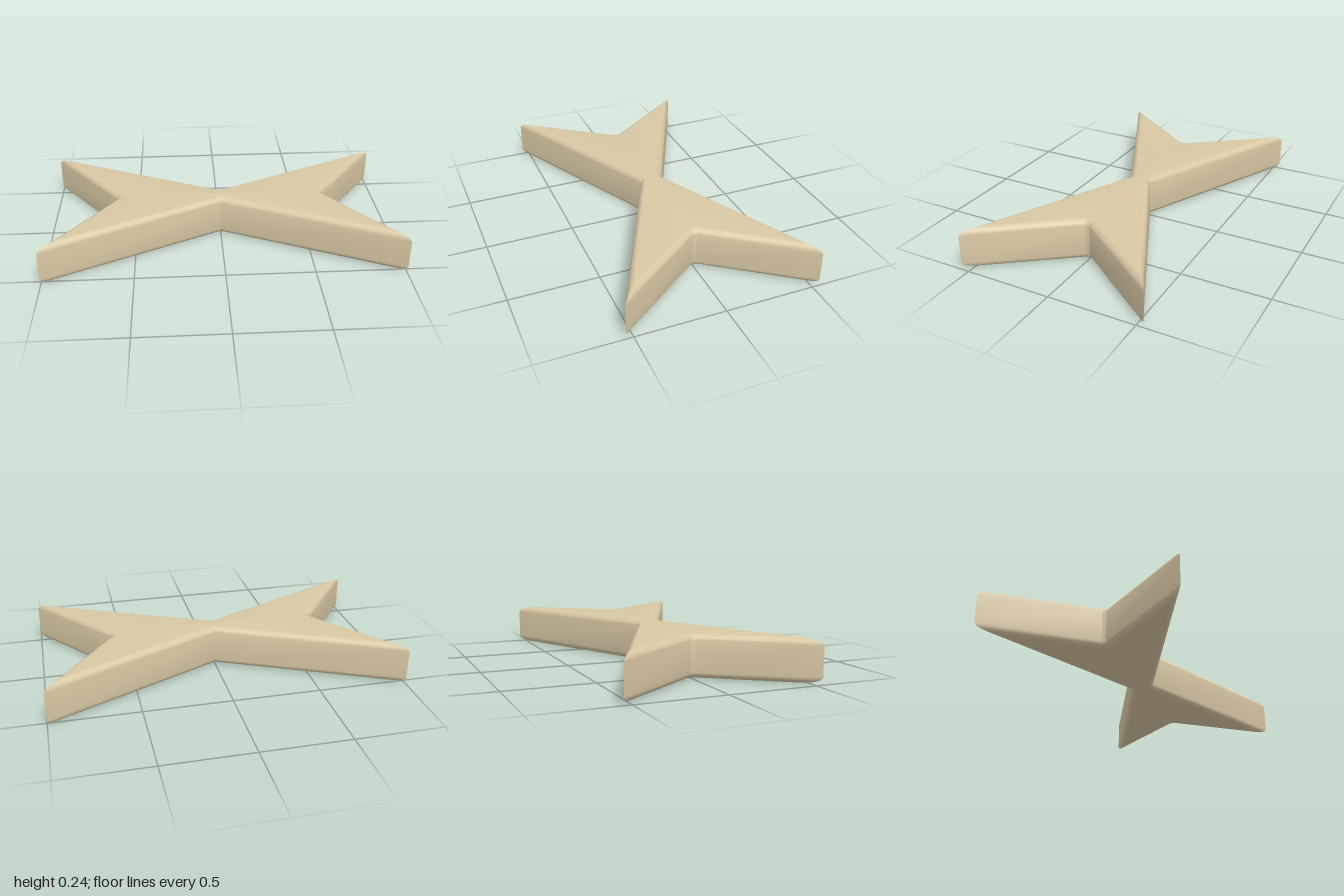
import * as THREE from 'three';
import { toCreasedNormals } from 'three/addons/utils/BufferGeometryUtils.js';

const HEIGHT = 0.24, ROUND = 0.04, STEPS = 8;
const WAIST = 0.065, TIP_X = 1, TIP_Z = 0.54, NOTCH_X = 0.598, FILLET = 0.03;

// Outline seen from above: each corner has a position and the direction it moves per unit of inset
function outline() {
  const outer = Math.atan2(TIP_Z - WAIST, TIP_X);
  const inner = Math.atan2(TIP_Z, TIP_X - NOTCH_X);
  const mid = (outer + inner) / 2, mitre = 1 / Math.sin((inner - outer) / 2);
  const tip = s => ({ x: TIP_X, z: s * TIP_Z, mx: -Math.cos(mid) * mitre, mz: -s * Math.sin(mid) * mitre });

  const half = [{ x: 0, z: WAIST, mx: 0, mz: -1 / Math.cos(outer) }, tip(1)];
  // rounded notch between the two points of a wing
  const centre = NOTCH_X + FILLET / Math.sin(inner), sweep = Math.PI / 2 - inner;
  for (let i = 0; i <= STEPS; i++) {
    const a = sweep * (1 - 2 * i / STEPS), mx = -Math.cos(a), mz = Math.sin(a);
    half.push({ x: centre + FILLET * mx, z: FILLET * mz, mx, mz });
  }
  half.push(tip(-1));
  // the other wing is the same half turned by 180 degrees
  return half.concat(half.map(p => ({ x: -p.x, z: -p.z, mx: -p.mx, mz: -p.mz })));
}

function bodyGeometry() {
  const ring = outline(), n = ring.length;

  // Rounded edge profile from bottom to top: [inset, height]
  const profile = [];
  for (let i = 0; i <= STEPS; i++) {
    const a = i / STEPS * Math.PI / 2;
    profile.push([ROUND * (1 - Math.sin(a)), ROUND * (1 - Math.cos(a))]);
  }
  profile.push(...profile.map(([d, y]) => [d, HEIGHT - y]).reverse());

  const positions = [], index = [];
  for (const [d, y] of profile) {
    for (const p of ring) positions.push(p.x + p.mx * d, y, p.z + p.mz * d);
  }

  // Walls
  for (let j = 0; j < profile.length - 1; j++) {
    for (let i = 0; i < n; i++) {
      const k = (i + 1) % n;
      const a = j * n + i, b = j * n + k, c = b + n, e = a + n;
      index.push(a, b, c, a, c, e);
    }
  }

  // Flat bottom and top
  const contour = ring.map(p => new THREE.Vector2(p.x + p.mx * ROUND, -(p.z + p.mz * ROUND)));
  const top = (profile.length - 1) * n;
  for (const [a, b, c] of THREE.ShapeUtils.triangulateShape(contour, [])) {
    index.push(top + a, top + b, top + c, a, c, b);
  }

  const geometry = new THREE.BufferGeometry();
  geometry.setAttribute('position', new THREE.Float32BufferAttribute(positions, 3));
  geometry.setIndex(index);
  return toCreasedNormals(geometry, 0.5);
}

export function createModel() {
  const group = new THREE.Group();
  group.name = 'bowTie';
  const body = new THREE.Mesh(bodyGeometry(), new THREE.MeshStandardMaterial({ color: 0xd8c8a4 }));
  body.name = 'pointedWings';
  group.add(body);
  return group;
}
